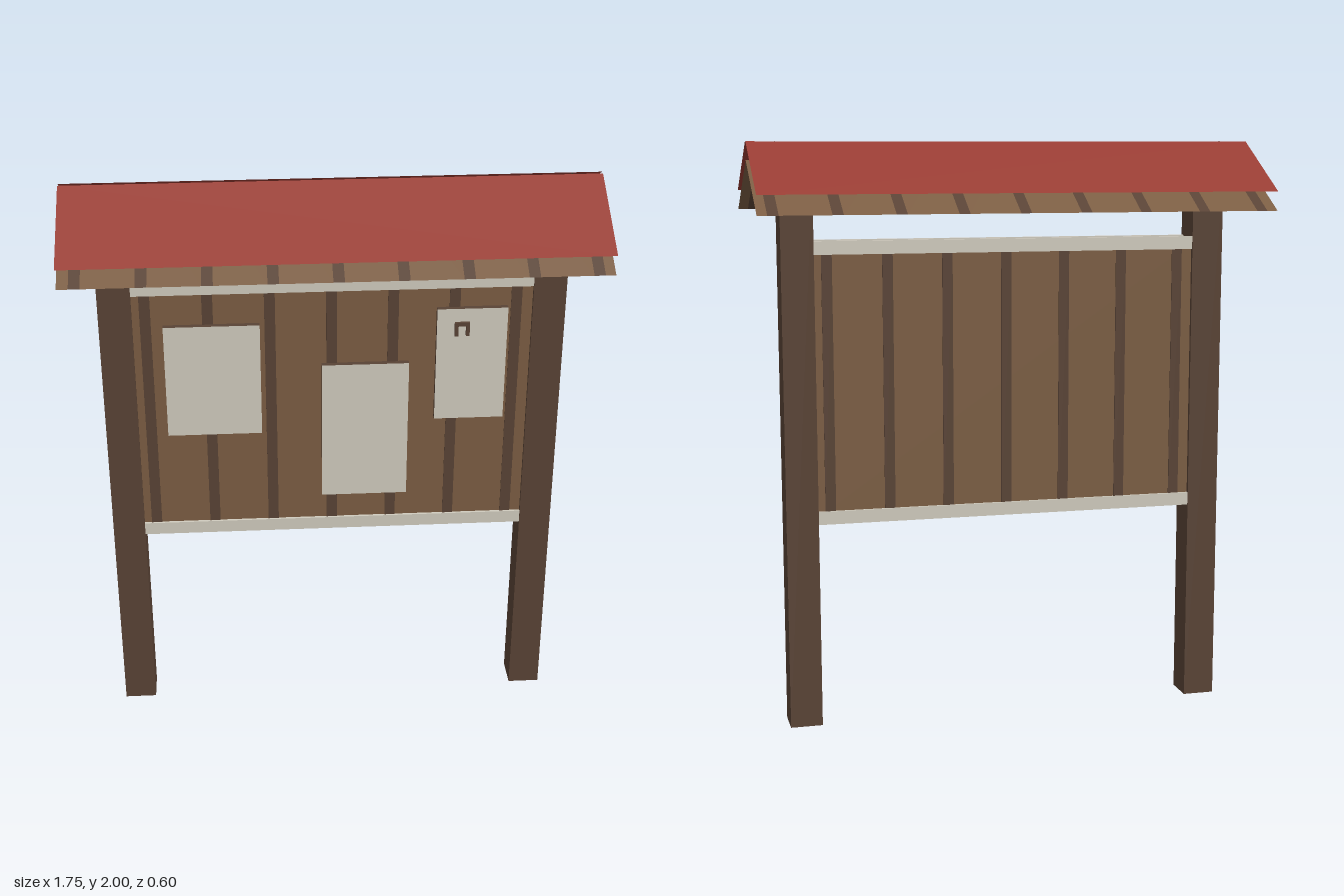
import * as THREE from 'three';

const mat = (name, color) => {
  const m = new THREE.MeshStandardMaterial({ color, side: THREE.DoubleSide });
  m.name = name;
  return m;
};

export function createModel() {
  const root = new THREE.Group();
  root.name = 'noticeBoard';
  const red = mat('roofRed', 0x983c33);
  const wood = mat('plankWood', 0x7b5d43);
  const dark = mat('darkWood', 0x594335);
  const cream = mat('cream', 0xd0cbbe);

  const add = (name, geometry, material, parent = root) => {
    const mesh = new THREE.Mesh(geometry, material);
    mesh.name = name;
    parent.add(mesh);
    return mesh;
  };
  // box given by its min and max on each axis
  const box = (name, x0, x1, y0, y1, z0, z1, material, parent) => {
    const mesh = add(name, new THREE.BoxGeometry(x1 - x0, y1 - y0, z1 - z0), material, parent);
    mesh.position.set((x0 + x1) / 2, (y0 + y1) / 2, (z0 + z1) / 2);
    return mesh;
  };

  // posts
  for (const s of [1, -1]) {
    const post = box('post', -0.055, 0.055, 0, 1.885, -0.055, 0.055, dark);
    post.position.x = s * 0.72;
  }

  // board, with dark plank joints and cream rails on both faces
  box('board', -0.67, 0.67, 0.73, 1.65, -0.043, 0.043, wood);
  const PITCH = 0.2055, JOINT = 0.036;
  for (const turn of [0, Math.PI]) {
    const face = new THREE.Group();
    face.name = turn ? 'backFace' : 'frontFace';
    face.rotation.y = turn;
    root.add(face);
    for (let i = 0; i < 7; i++) {
      const x = -0.622 + i * PITCH;
      box('plankJoint', x - JOINT / 2, x + JOINT / 2, 0.75, 1.63, 0.043, 0.046, dark, face);
    }
    for (const y of [0.71, 1.625])
      box('rail', -0.667, 0.667, y, y + 0.045, 0.035, 0.052, cream, face);
  }

  // paper notices with dark edges
  const paper = [dark, dark, dark, dark, cream, dark];
  for (const [x0, x1, y0, y1] of [
    [-0.565, -0.245, 1.11, 1.515],
    [-0.04, 0.255, 0.855, 1.36],
    [0.345, 0.582, 1.145, 1.555],
  ]) box('notice', x0, x1, y0, y1, 0.043, 0.063, paper);

  // small clip on one notice
  for (const x of [0.404, 0.442]) box('clipLeg', x, x + 0.012, 1.46, 1.505, 0.063, 0.074, dark);
  box('clipTop', 0.404, 0.454, 1.495, 1.508, 0.063, 0.074, dark);

  // sloping roof sheet from the ridge to the eaves
  const SLOPE = 0.567;
  const sheet = (name, x0, x1, zIn, ridgeY, side, material) => {
    const g = new THREE.BufferGeometry();
    const p = (x, z) => [x, ridgeY - SLOPE * z, side * z];
    g.setAttribute('position', new THREE.Float32BufferAttribute(
      [...p(x0, zIn), ...p(x0, 0.3), ...p(x1, 0.3), ...p(x1, zIn)], 3));
    g.setIndex(side > 0 ? [0, 1, 2, 0, 2, 3] : [0, 2, 1, 0, 3, 2]);
    g.computeVertexNormals();
    add(name, g, material);
  };
  const END = 0.875;
  for (const side of [1, -1]) {
    sheet('roofSheet', -END, END, 0.008, 2, side, red);
    // plank lining below, in alternating wood and joint strips
    let x = -END;
    for (let i = 0; i < 9; i++) {
      const c = -0.82 + i * PITCH;
      sheet('roofPlank', x, c - JOINT / 2, 0, 1.935, side, wood);
      sheet('roofPlankJoint', c - JOINT / 2, c + JOINT / 2, 0, 1.935, side, dark);
      x = c + JOINT / 2;
    }
    sheet('roofPlank', x, END, 0, 1.935, side, wood);
  }

  // gable triangles with a dark middle joint
  const gablePiece = (points, material, x) => {
    const shape = new THREE.Shape(points.map(([z, y]) => new THREE.Vector2(z, y)));
    const mesh = add('gable', new THREE.ShapeGeometry(shape), material);
    mesh.rotation.y = -Math.PI / 2;
    mesh.position.x = x;
  };
  const J = 0.018, BASE = 1.886, TOP = 1.999;
  const edgeY = TOP - SLOPE * J;
  for (const x of [0.778, -0.778]) {
    for (const s of [1, -1])
      gablePiece([[s * J, BASE], [s * 0.2, BASE], [s * J, edgeY]], wood, x);
    gablePiece([[-J, BASE], [J, BASE], [J, edgeY], [0, TOP], [-J, edgeY]], dark, x);
  }
  return root;
}
